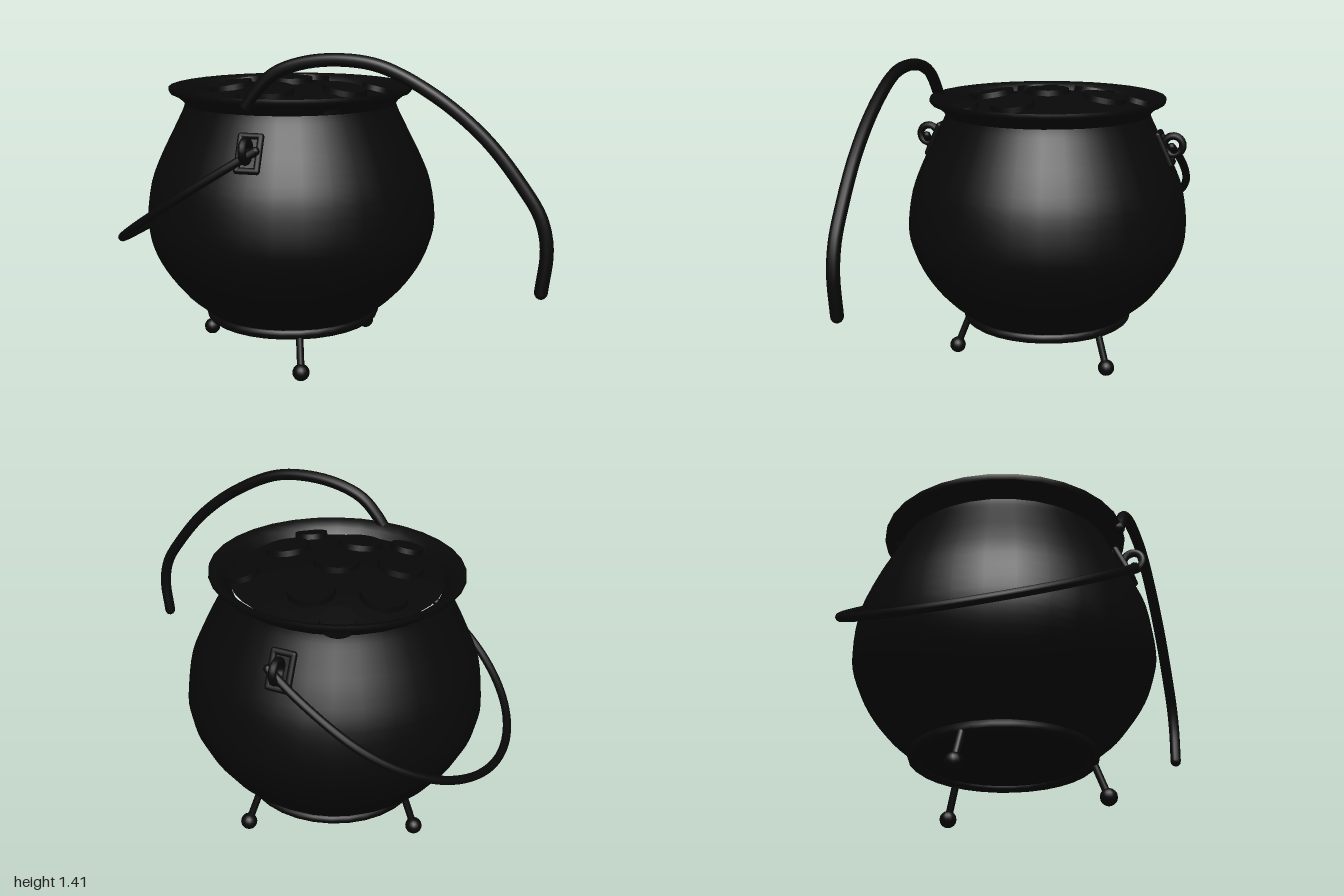
import * as THREE from 'three';

const V = (x, y, z) => new THREE.Vector3(x, y, z);

export function createModel() {
  const iron = new THREE.MeshStandardMaterial({ color: 0x080808 });
  iron.name = 'black iron';
  const model = new THREE.Group();
  model.name = 'cauldron';

  const add = (name, geometry, parent) => {
    const mesh = new THREE.Mesh(geometry, iron);
    mesh.name = name;
    parent.add(mesh);
    return mesh;
  };
  const lathe = (pts) => new THREE.LatheGeometry(pts.map(p => new THREE.Vector2(...p)), 32);
  // Tube along a smooth path with rounded ends
  const rod = (name, pts, radius, steps, parent) => {
    add(name, new THREE.TubeGeometry(new THREE.CatmullRomCurve3(pts), steps, radius, 12), parent);
    for (const p of [pts[0], pts[pts.length - 1]])
      add(name + 'End', new THREE.SphereGeometry(radius, 12, 8), parent).position.copy(p);
  };

  // Pot, turned about its own axis
  const pot = new THREE.Group();
  pot.name = 'pot';
  pot.position.x = -0.21;
  model.add(pot);
  const wall = new THREE.SplineCurve([
    [0.36, 0.19], [0.41, 0.23], [0.5, 0.31], [0.58, 0.42], [0.63, 0.53], [0.645, 0.64],
    [0.622, 0.8], [0.575, 0.92], [0.525, 1.02], [0.48, 1.11], [0.466, 1.145],
  ].map(p => new THREE.Vector2(...p)));
  add('body', lathe(wall.getPoints(30).map(p => [p.x, p.y])), pot);
  add('bottom', lathe([[0, 0.16], [0.12, 0.162], [0.25, 0.172], [0.37, 0.19]]), pot);

  // Flared rim: underside, edge, top lip and inner slope
  add('rimUnderside', lathe([[0.466, 1.145], [0.48, 1.165], [0.505, 1.185], [0.53, 1.195]]), pot);
  add('rimEdge', lathe([[0.53, 1.195], [0.537, 1.205], [0.535, 1.22]]), pot);
  add('rimTop', lathe([[0.535, 1.22], [0.51, 1.215], [0.48, 1.195], [0.455, 1.165], [0.44, 1.14]]), pot);

  const baseRing = add('baseRing', new THREE.TorusGeometry(0.37, 0.025, 10, 32), pot);
  baseRing.rotation.x = Math.PI / 2;
  baseRing.position.y = 0.19;

  // Domed brew with flat bubbles lying on it
  const domeY = (r) => 1.235 - r * r / 3.2;
  const dome = [0.45, 0.36, 0.27, 0.18, 0.09, 0].map(r => [r, domeY(r)]);
  add('brew', lathe(dome), pot);
  const bubbles = [
    [0, 0], [0, -0.26], [-0.27, -0.16], [-0.24, 0.11], [0, 0.26], [0.27, 0.09],
    [0.35, -0.18], [-0.17, -0.39], [0.26, 0.32], [-0.18, 0.36],
  ];
  for (const [x, z] of bubbles) {
    const r = Math.hypot(x, z);
    const size = r > 0.35 ? 0.075 : 0.1;
    const b = add('bubble', new THREE.CylinderGeometry(size * 0.95, size, 0.036, 24), pot);
    b.position.set(x, domeY(r) + 0.003, z);
    b.quaternion.setFromUnitVectors(V(0, 1, 0), V(x / 1.6, 1, z / 1.6).normalize());
  }

  // Three splayed legs with ball feet
  for (const angle of [187, 67.5, -52.5]) {
    const leg = new THREE.Group();
    leg.name = 'leg';
    leg.rotation.y = -THREE.MathUtils.degToRad(angle);
    pot.add(leg);
    rod('legRod', [V(0.365, 0.2, 0), V(0.43, 0.037, 0)], 0.016, 1, leg);
    add('foot', new THREE.SphereGeometry(0.037, 16, 12), leg).position.set(0.43, 0.037, 0);
  }

  // Lugs on front and back: framed plate and ring
  for (const side of [1, -1]) {
    const lug = new THREE.Group();
    lug.name = 'lug';
    lug.rotation.y = side > 0 ? 0 : Math.PI;
    pot.add(lug);
    const plate = new THREE.Group();
    plate.name = 'lugPlate';
    plate.position.set(0, 1.0, 0.535);
    plate.rotation.x = -0.43;
    lug.add(plate);
    add('plate', new THREE.BoxGeometry(0.09, 0.15, 0.02), plate);
    const w = 0.042, h = 0.072;
    for (const s of [1, -1]) {
      rod('frameSide', [V(s * w, -h, 0.008), V(s * w, h, 0.008)], 0.014, 1, plate);
      rod('frameBar', [V(-w, s * h, 0.008), V(w, s * h, 0.008)], 0.014, 1, plate);
    }
    const ring = add('lugRing', new THREE.TorusGeometry(0.042, 0.017, 10, 24), lug);
    ring.rotation.y = Math.PI / 2;
    ring.position.set(0, 1.02, 0.578);
  }

  // Bail: half hoop hanging down to the model's right
  const bail = [V(-0.17, 1.02, 0.575), V(-0.3, 0.94, 0.602)];
  for (let i = 0; i <= 16; i++) {
    const a = Math.PI / 2 - i * Math.PI / 16;
    const x = -0.45 - 0.53 * Math.cos(a);
    bail.push(V(x, 1.0 + (x + 0.21) * 0.645, 0.61 * Math.sin(a)));
  }
  bail.push(V(-0.3, 0.94, -0.602), V(-0.17, 1.02, -0.575));
  rod('bail', bail, 0.018, 80, model);

  // Long curved handle leaning over the front of the rim
  const arc = [
    [-0.225, 1.19], [-0.19, 1.24], [-0.11, 1.32], [0.01, 1.367], [0.17, 1.383], [0.33, 1.36],
    [0.545, 1.25], [0.73, 1.1], [0.87, 0.93], [0.945, 0.81], [0.972, 0.69], [0.957, 0.52],
  ];
  rod('ladleHandle', arc.map(([x, y]) => V(x, y, 0.527)), 0.026, 60, model);

  return model;
}
